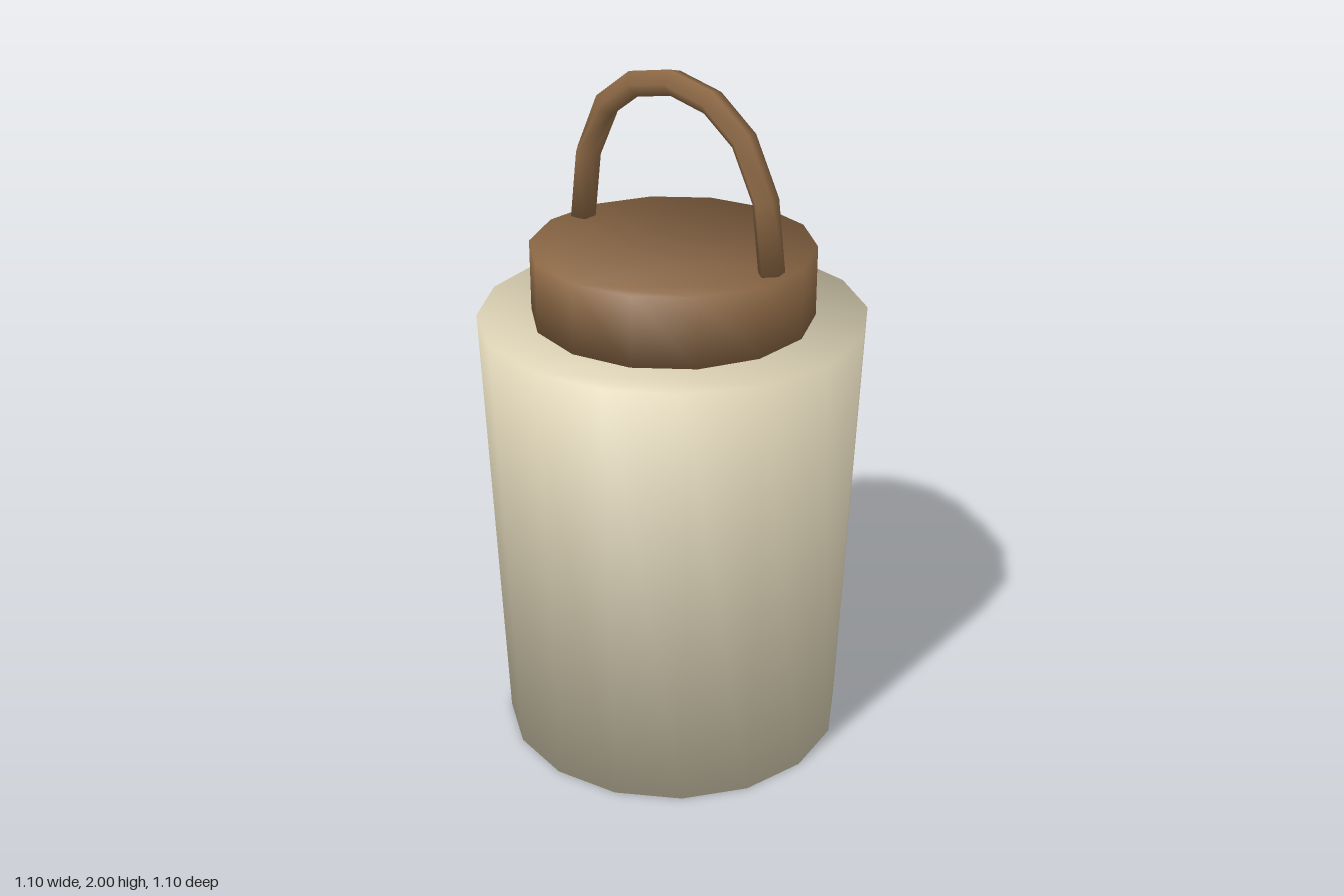
import * as THREE from 'three';

// Angle-weighted normals shared by all faces round a vertex, so shading is smooth over rims too
function smoothNormals(geometry) {
  const pos = geometry.attributes.position, idx = geometry.index.array;
  const p = i => new THREE.Vector3().fromBufferAttribute(pos, i);
  const normals = Array.from({ length: pos.count }, () => new THREE.Vector3());
  for (let t = 0; t < idx.length; t += 3) {
    for (let k = 0; k < 3; k++) {
      const a = idx[t + k], b = idx[t + (k + 1) % 3], c = idx[t + (k + 2) % 3];
      const u = p(b).sub(p(a)), v = p(c).sub(p(a));
      normals[a].addScaledVector(u.clone().cross(v).normalize(), u.angleTo(v));
    }
  }
  const flat = normals.flatMap(n => n.normalize().toArray());
  geometry.setAttribute('normal', new THREE.Float32BufferAttribute(flat, 3));
  return geometry;
}

// Skin a list of equal rings (counter-clockwise about the path) and close both ends
function loft(rings) {
  const n = rings[0].length, last = (rings.length - 1) * n, index = [];
  for (let i = 0; i < last; i += n) {
    for (let j = 0; j < n; j++) {
      const k = (j + 1) % n;
      index.push(i + j, i + k, i + n + j, i + k, i + n + k, i + n + j);
    }
  }
  for (let j = 1; j < n - 1; j++) {
    index.push(0, j + 1, j, last, last + j, last + j + 1);
  }
  const geometry = new THREE.BufferGeometry();
  geometry.setAttribute('position', new THREE.Float32BufferAttribute(rings.flat(2), 3));
  geometry.setIndex(index);
  return smoothNormals(geometry);
}

// Horizontal polygon ring
function ring(radius, y, sides) {
  return Array.from({ length: sides }, (_, j) => {
    const a = (j / sides) * Math.PI * 2;
    return [radius * Math.sin(a), y, radius * Math.cos(a)];
  });
}

// Five-sided bent tube; its section turns a quarter near the right end
function handleRings() {
  const half = [[0.35, 1.51], [0.324, 1.705], [0.246, 1.855], [0.134, 1.937]];
  const path = [...half, [0, 1.965], ...half.map(([x, y]) => [-x, y]).reverse()];
  const radius = 0.038, sides = 5;
  return path.map(([x, y], i) => {
    const prev = path[Math.max(i - 1, 0)], next = path[Math.min(i + 1, path.length - 1)];
    const tangent = new THREE.Vector2(next[0] - prev[0], next[1] - prev[1]).normalize();
    const turn = (i >= path.length - 2 ? 160 : 70) * Math.PI / 180;
    return Array.from({ length: sides }, (_, j) => {
      const a = turn + (j / sides) * Math.PI * 2;
      const out = radius * Math.sin(a);
      return [x + tangent.y * out, y - tangent.x * out, radius * Math.cos(a)];
    });
  });
}

export function createModel() {
  const cream = new THREE.MeshStandardMaterial({ color: 0xddd3b6 });
  cream.name = 'cream';
  const brown = new THREE.MeshStandardMaterial({ color: 0x8c6845 });
  brown.name = 'brown';

  const model = new THREE.Group();
  model.name = 'lidded jar';
  const add = (name, rings, material) => {
    const mesh = new THREE.Mesh(loft(rings), material);
    mesh.name = name;
    model.add(mesh);
  };

  // Tapered body, lid and carrying handle
  add('body', [ring(0.5, 0, 16), ring(0.55, 1.306, 16)], cream);
  add('lid', [ring(0.4, 1.306, 14), ring(0.4, 1.508, 14)], brown);
  add('handle', handleRings(), brown);
  return model;
}
